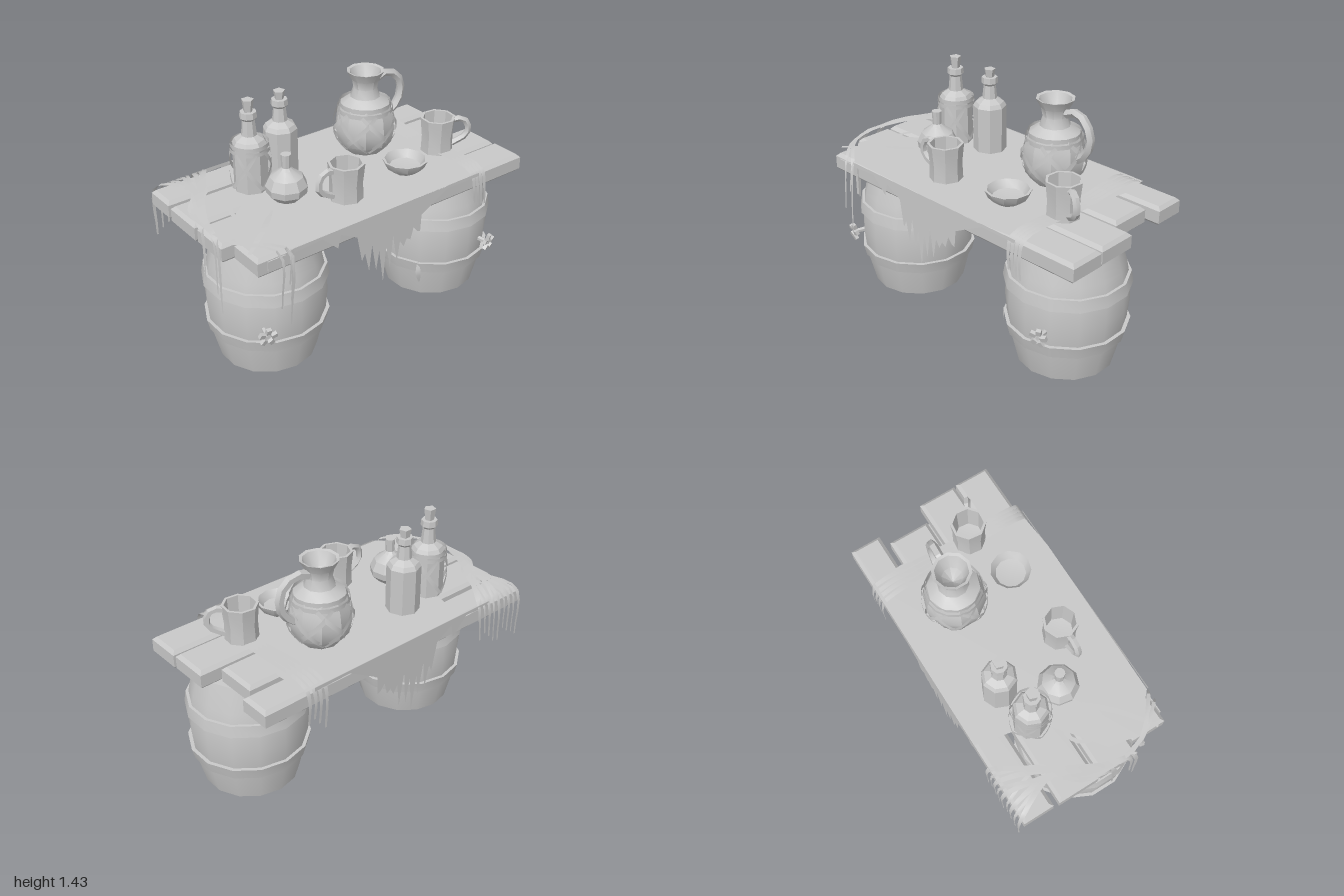
import * as THREE from 'three';
import { toCreasedNormals } from 'three/addons/utils/BufferGeometryUtils.js';

const clay = new THREE.MeshStandardMaterial({ color: 0xc8c8c8, side: THREE.DoubleSide });
clay.name = 'plain grey';
const V = (x, y, z) => new THREE.Vector3(x, y, z);

// Small seeded random source
let seed = 7;
function vary(low, high) {
  seed = (seed * 16807) % 2147483647;
  return low + (high - low) * seed / 2147483647;
}

function part(parent, name, geometry, crease = 0.6) {
  const mesh = new THREE.Mesh(toCreasedNormals(geometry, crease), clay);
  mesh.name = name;
  parent.add(mesh);
  return mesh;
}

function group(parent, name, x, y, z) {
  const g = new THREE.Group();
  g.name = name;
  g.position.set(x, y, z);
  parent.add(g);
  return g;
}

// Turned part from [radius, height] pairs
const lathe = (parent, name, profile, sides, crease) =>
  part(parent, name, new THREE.LatheGeometry(profile.map(p => new THREE.Vector2(...p)), sides), crease);

const outline = pts => new THREE.Shape(pts.map(p => new THREE.Vector2(...p)));

// Flat strip along a curve, tapering to its ends; normalAt gives the facing direction
function ribbon(parent, name, points, width, normalAt, taper, steps) {
  const curve = new THREE.CatmullRomCurve3(points, false, 'centripetal');
  const pos = [], index = [];
  for (let i = 0; i <= steps; i++) {
    const t = i / steps, p = curve.getPoint(t);
    const side = curve.getTangent(t).cross(normalAt(p)).normalize();
    const w = width / 2 * (taper + (1 - taper) * Math.sin(Math.PI * t));
    pos.push(...p.clone().addScaledVector(side, w).toArray(), ...p.addScaledVector(side, -w).toArray());
    if (i < steps) {
      const a = i * 2;
      index.push(a, a + 1, a + 2, a + 1, a + 3, a + 2);
    }
  }
  const g = new THREE.BufferGeometry();
  g.setAttribute('position', new THREE.Float32BufferAttribute(pos, 3));
  g.setIndex(index);
  part(parent, name, g, 0.8);
}

// Facing direction for strips lying on or hanging off the table
function tableNormal(p) {
  if (p.y > 0.885) return V(0, 1, 0);
  return Math.abs(p.z) > 0.46 ? V(0, 0, Math.sign(p.z)) : V(Math.sign(p.x), 0, 0);
}
const radial = p => V(p.x, 0, p.z).normalize();

function handle(parent, points, radius) {
  const path = new THREE.CatmullRomCurve3(points, false, 'centripetal');
  part(parent, 'handle', new THREE.TubeGeometry(path, 7, radius, 5), 0.5);
}

// Crossed straps and rings around a vessel
function netting(parent, count, low, high, radiusAt, width) {
  const at = (a, y) => V(Math.cos(a) * radiusAt(y), y, Math.sin(a) * radiusAt(y));
  for (let i = 0; i < count; i++) for (const dir of [-1, 1]) {
    const pts = [0, 0.25, 0.5, 0.75, 1].map(t =>
      at(i / count * Math.PI * 2 + dir * t * 1.3, low + (high - low) * t));
    ribbon(parent, 'strap', pts, width, radial, 0.8, 8);
  }
  for (const y of [high, high + 0.03]) {
    const ring = Array.from({ length: 13 }, (_, i) => at(i / 12 * Math.PI * 2, y));
    ribbon(parent, 'strapRing', ring, width, radial, 0.9, 16);
  }
}

function barrel(root, x, z, tapX) {
  const g = group(root, 'barrel', x, 0, z);
  lathe(g, 'staves', [[0, 0], [0.285, 0], [0.334, 0.2], [0.35, 0.38], [0.342, 0.52], [0.322, 0.62],
    [0.28, 0.77], [0, 0.77]], 14, 0.6);
  for (const [y, low, high] of [[0.19, 0.338, 0.354], [0.495, 0.356, 0.344]]) {
    const hoop = lathe(g, 'hoop', [[low - 0.02, 0], [low + 0.006, 0], [high + 0.006, 0.07], [high - 0.02, 0.07]], 14, 0.6);
    hoop.position.y = y;
    hoop.rotation.z = -0.012;
  }
  // Tap with a cross-shaped grip
  const reach = Math.sqrt(0.345 ** 2 - tapX ** 2);
  const tap = group(g, 'tap', tapX, 0.345, reach);
  tap.rotation.y = Math.atan2(tapX, reach) * 0.5;
  const stem = part(tap, 'tapStem', new THREE.CylinderGeometry(0.013, 0.016, 0.08, 6));
  stem.rotation.x = Math.PI / 2;
  stem.position.z = 0.03;
  for (let i = 0; i < 5; i++) {
    const a = i * Math.PI * 0.4 + 0.2;
    const lobe = part(tap, 'tapLobe', new THREE.BoxGeometry(0.034, 0.028, 0.022));
    lobe.position.set(Math.cos(a) * 0.035, Math.sin(a) * 0.035, 0.065);
    lobe.rotation.set(0.3, 0.2, a);
  }
}

function mug(root, x, z, angle) {
  const g = group(root, 'mug', x, 0.895, z);
  g.rotation.y = angle;
  lathe(g, 'mugBody', [[0, 0], [0.098, 0], [0.094, 0.1], [0.106, 0.215], [0.09, 0.215], [0.082, 0.05], [0, 0.04]], 8, 0.4);
  handle(g, [V(0.09, 0.19, 0), V(0.15, 0.195, 0), V(0.185, 0.15, 0), V(0.18, 0.09, 0), V(0.09, 0.035, 0)], 0.02);
}

function bottle(root, x, z, neckTop, corkTop) {
  const g = group(root, 'bottle', x, 0.892, z);
  lathe(g, 'bottleBody', [[0, 0], [0.1, 0], [0.1, 0.28], [0.085, 0.305], [0.045, 0.33],
    [0.036, neckTop - 0.05], [0.05, neckTop - 0.035], [0.047, neckTop], [0, neckTop]], 8, 0.4);
  const cork = part(g, 'cork', new THREE.CylinderGeometry(0.036, 0.025, corkTop - neckTop + 0.02, 5), 0.4);
  cork.position.y = (corkTop + neckTop) / 2;
  return g;
}

// Outline of a hanging cloth end: a wide hem, then teeth that are longest near the middle
function tornOutline() {
  const pts = [[-0.7, 0], [-0.69, -0.03], [-0.51, -0.02], [-0.41, -0.13], [-0.39, -0.04], [-0.28, -0.11]];
  for (let i = 0; i < 9; i++) {
    const x = -0.25 + i * 0.05;
    const length = 0.28 + 0.26 * Math.max(0, 1 - Math.abs(x + 0.09) / 0.2);
    pts.push([x, -length * (i % 2 ? 1 : 0.9)], [x + 0.022, -0.25 + 0.04 * Math.sin(i * 2)]);
  }
  return outline([...pts, [0.18, -0.14], [0.38, -0.02], [0.62, -0.025], [0.62, 0]]);
}

export function createModel() {
  seed = 7;
  const root = new THREE.Group();
  root.name = 'barrelTable';

  barrel(root, -0.61, 0.09, -0.2);
  barrel(root, 0.64, 0.09, 0.12);
  ribbon(root, 'barrelScrap', [V(0.36, 0.27, 0.3), V(0.355, 0.2, 0.31), V(0.375, 0.12, 0.3)], 0.03, () => V(-0.6, 0, 0.8), 0.3, 6);

  // Planks with chamfered edges: x range, z range
  const bevel = 0.02;
  for (const [x0, x1, z0, z1] of [[-0.97, 0.94, -0.5, -0.31], [-0.975, 0.87, -0.275, -0.02],
    [-0.97, 0.99, 0.002, 0.243], [-0.9, 0.995, 0.258, 0.475]]) {
    const rect = outline([[x0 + bevel, -z1 + bevel], [x1 - bevel, -z1 + bevel], [x1 - bevel, -z0 - bevel], [x0 + bevel, -z0 - bevel]]);
    const plank = part(root, 'plank', new THREE.ExtrudeGeometry(rect, {
      depth: 0.115 - bevel * 2, bevelSize: bevel, bevelThickness: bevel, bevelSegments: 1 }), 0.3);
    plank.rotation.x = -Math.PI / 2;
    plank.position.y = 0.767 + bevel;
  }

  // Tablecloth and its torn hanging ends
  const top = part(root, 'clothTop', new THREE.ShapeGeometry(outline([[-0.46, 0.5], [0.68, 0.502], [0.7, 0.3],
    [0.66, 0.1], [0.62, -0.48], [0.35, -0.505], [-0.7, -0.49], [-0.9, -0.3], [-0.86, -0.12], [-0.54, 0.13]])));
  top.rotation.x = -Math.PI / 2;
  top.position.y = 0.892;
  for (const [z, drop] of [[0.502, 0.86], [-0.505, 1]]) {
    const flap = part(root, 'clothFlap', new THREE.ShapeGeometry(tornOutline()));
    flap.scale.y = drop;
    flap.position.set(0, 0.893, z);
    flap.rotation.x = -0.025;
  }

  // Straps tied over the right end
  for (let i = 0; i < 4; i++) {
    const a = 0.58 + i * 0.027, b = a + vary(-0.03, 0.03);
    ribbon(root, 'endStrap', [V(a + 0.01, vary(0.58, 0.72), 0.515), V(a, 0.82, 0.51), V(a, 0.897, 0.48), V(a, 0.9, 0),
      V(b, 0.897, -0.48), V(b, 0.82, -0.515), V(b + 0.01, vary(0.55, 0.75), -0.515)], 0.028, tableNormal, 0.5, 30);
  }

  // Tangle of straps from the back edge over the left end, loose ends hanging on the side or front
  for (let i = 0; i < 9; i++) {
    const back = -0.62 - i * 0.04, shift = vary(-0.12, 0.08), front = vary(-0.94, -0.7), drop = vary(0.42, 0.72);
    const pts = [V(back - 0.01, vary(0.54, 0.7), -0.52), V(back, 0.89, -0.5),
      V(vary(-0.9, -0.74), 0.935, -0.25), V(-0.94, 0.92, shift)];
    if (i % 2) pts.push(V(-0.93, 0.91, 0.28), V(front, 0.89, 0.49), V(front - 0.01, drop, 0.515));
    else pts.push(V(-0.975, 0.89, shift + 0.16), V(-0.99, drop, shift + 0.2));
    ribbon(root, 'looseStrap', pts, i % 2 ? 0.026 : 0.034, tableNormal, 0.35, 22);
  }
  // Loop and long strap lying on the cloth
  const loop = Array.from({ length: 9 }, (_, i) =>
    V(-0.68 + 0.1 * Math.cos(i * Math.PI / 4), 0.91, 0.07 + 0.11 * Math.sin(i * Math.PI / 4)));
  ribbon(root, 'strapLoop', loop, 0.025, tableNormal, 0.8, 16);
  ribbon(root, 'longStrap', [V(-0.58, 0.9, 0.13), V(-0.72, 0.91, 0.27), V(-0.91, 0.9, 0.42)], 0.034, tableNormal, 0.6, 8);

  // Small cloth scraps on the front left edge
  for (const [x, y, w, h] of [[-0.79, 0.835, 0.11, 0.055], [-0.69, 0.78, 0.02, 0.2]]) {
    const scrap = part(root, 'scrap', new THREE.BoxGeometry(w, h, 0.006));
    scrap.position.set(x, y, 0.485);
  }

  // Bottles, one wrapped in straps
  const wrapped = bottle(root, -0.51, -0.17, 0.47, 0.53);
  netting(wrapped, 4, 0.03, 0.25, y => 0.118 - Math.max(0, y - 0.2) * 0.1, 0.024);
  bottle(root, -0.27, -0.22, 0.46, 0.5);

  // Round flask
  const flask = group(root, 'flask', -0.43, 0.892, 0.065);
  lathe(flask, 'flaskBody', [[0, 0], [0.07, 0.005], [0.115, 0.05], [0.12, 0.09], [0.095, 0.145], [0.04, 0.185],
    [0.026, 0.2], [0.03, 0.28], [0, 0.28]], 9, 0.5);

  mug(root, -0.16, 0.25, Math.PI);
  mug(root, 0.625, 0.13, -0.5);

  // Bowl
  const bowl = group(root, 'bowl', 0.3, 0.893, 0.215);
  lathe(bowl, 'bowlBody', [[0, 0], [0.07, 0], [0.115, 0.035], [0.135, 0.08], [0.12, 0.08], [0.09, 0.035], [0, 0.02]], 11, 0.5);

  // Jug with netting
  const jug = group(root, 'jug', 0.3, 0.892, -0.16);
  lathe(jug, 'jugBody', [[0, 0], [0.115, 0], [0.165, 0.06], [0.182, 0.15], [0.172, 0.23], [0.15, 0.3], [0.09, 0.345],
    [0.072, 0.4], [0.082, 0.45], [0.112, 0.505], [0.095, 0.5], [0.06, 0.42], [0, 0.36]], 10, 0.6);
  handle(jug, [V(0.08, 0.43, 0), V(0.16, 0.455, 0), V(0.235, 0.41, 0.01), V(0.265, 0.33, 0.01), V(0.24, 0.24, 0.01), V(0.17, 0.18, 0)], 0.026);
  netting(jug, 6, 0.03, 0.27, y => 0.192 - 4.2 * (y - 0.15) ** 2 * (y < 0.15 ? 0.9 : 0.4), 0.028);

  return root;
}
